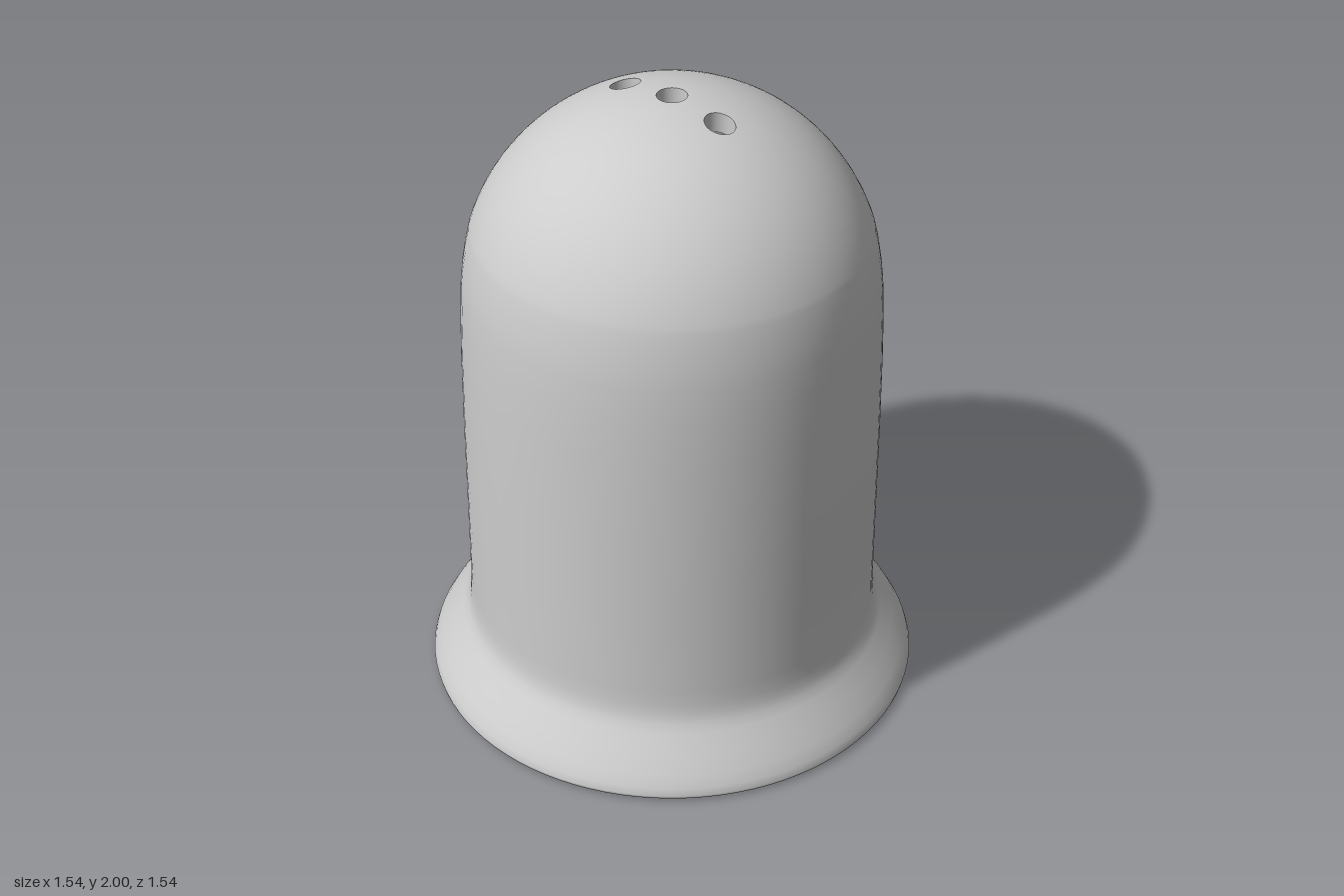
import * as THREE from 'three';

const SEGMENTS = 96;
const CENTRE_Y = 1.37;      // centre of both dome spheres
const OUTER_R = 0.63;
const INNER_R = 0.57;
const CAP_R = 0.33;         // the pierced crown reaches this far from the axis
const BASE_Y = 0.062;       // recessed underside
const FLOOR_Y = 0.117;      // floor of the cavity
const FILL_R = 0.27;
const HOLE_R = 0.045;
const HOLE_GAP = 0.18;
const HALF = HOLE_GAP / 2;
const CELL = 12;            // divisions along one side of a hole's square cell

const v2 = (x, y) => new THREE.Vector2(x, y);
const domeY = (R, x, z) => CENTRE_Y + Math.sqrt(R * R - x * x - z * z);

// Points of a dome arc from radius a to radius b
function domeArc(R, a, b, n) {
  const t0 = Math.asin(a / R), t1 = Math.asin(b / R), pts = [];
  for (let i = 0; i <= n; i++) {
    const t = t0 + (t1 - t0) * i / n;
    pts.push(v2(R * Math.sin(t), CENTRE_Y + R * Math.cos(t)));
  }
  return pts;
}

// Closed strip between two matching loops of points
function loft(inner, outer, rows, place, normalAt, flip) {
  const n = inner.length, pos = [], nor = [], idx = [];
  for (let j = 0; j <= rows; j++) {
    for (let i = 0; i <= n; i++) {
      const p = place(inner[i % n], outer[i % n], j / rows);
      pos.push(p.x, p.y, p.z);
      const m = normalAt(p).normalize();
      nor.push(m.x, m.y, m.z);
      if (i === n || j === rows) continue;
      const a = j * (n + 1) + i, b = a + 1, c = a + n + 1, d = c + 1;
      if (flip) idx.push(a, c, b, b, c, d);
      else idx.push(a, b, c, b, d, c);
    }
  }
  const g = new THREE.BufferGeometry();
  g.setAttribute('position', new THREE.Float32BufferAttribute(pos, 3));
  g.setAttribute('normal', new THREE.Float32BufferAttribute(nor, 3));
  g.setIndex(idx);
  return g;
}

// Rectangle outline in the xz plane, evenly divided
function rectLoop(hx, hz, cz) {
  const corners = [[hx, -hz], [hx, hz], [-hx, hz], [-hx, -hz]], pts = [];
  corners.forEach(([x, z], k) => {
    const [x2, z2] = corners[(k + 1) % 4];
    const n = Math.round((Math.abs(x2 - x) + Math.abs(z2 - z)) / HOLE_GAP * CELL);
    for (let i = 0; i < n; i++) pts.push(v2(x + (x2 - x) * i / n, cz + z + (z2 - z) * i / n));
  });
  return pts;
}

// Circle outline whose points pair up with those of a rectangle loop
function circleLoop(r, cz, n, hx, hz) {
  const start = -hz / (hx + hz) * Math.PI / 2;
  return Array.from({ length: n }, (_, i) => {
    const t = start + i / n * Math.PI * 2;
    return v2(r * Math.cos(t), cz + r * Math.sin(t));
  });
}

export function createModel() {
  const group = new THREE.Group();
  const grey = new THREE.MeshStandardMaterial({ color: 0xcccccc });
  grey.name = 'plain grey';
  const add = (name, geometry) => {
    const mesh = new THREE.Mesh(geometry, grey);
    mesh.name = name;
    group.add(mesh);
  };
  const lathe = (name, pts) => add(name, new THREE.LatheGeometry(pts, SEGMENTS));

  // Outer skin: recessed underside, rounded lip, flared foot, wall, dome
  const skin = [[FILL_R, BASE_Y], [0.45, BASE_Y], [0.59, BASE_Y], [0.62, 0.06], [0.65, 0.05], [0.68, 0.032],
    [0.705, 0.015], [0.722, 0.005], [0.74, 0], [0.76, 0.004], [0.77, 0.012], [0.772, 0.022], [0.765, 0.045],
    [0.745, 0.08], [0.71, 0.13], [0.672, 0.182], [0.656, 0.208], [0.647, 0.235], [0.643, 0.27], [0.641, 0.32],
    [0.64, 0.6], [0.639, 0.9], [0.636, 1.15], [0.632, 1.3], [0.626, 1.4], [0.619, 1.46], [0.609, 1.52]];
  lathe('outerBody', [...skin.map(p => v2(...p)), ...domeArc(OUTER_R, CAP_R, 0.597, 24).reverse()]);

  // Round filling opening through the base
  lathe('fillingHoleWall', [v2(FILL_R, FLOOR_Y), v2(FILL_R, BASE_Y)]);

  // Hollow inside
  lathe('cavityWall', [...domeArc(INNER_R, CAP_R, INNER_R, 24), v2(INNER_R, 0.7), v2(INNER_R, FLOOR_Y)]);
  lathe('cavityFloor', [v2(INNER_R, FLOOR_Y), v2(FILL_R, FLOOR_Y)]);

  // Pierced crown, outside and inside
  const rect = rectLoop(HALF, HALF * 3, 0);
  const rim = circleLoop(CAP_R, 0, rect.length, HALF, HALF * 3);
  for (const [R, side] of [[OUTER_R, 'outer'], [INNER_R, 'inner']]) {
    const inside = R === INNER_R;
    const onDome = (a, b, t) => {
      const p = a.clone().lerp(b, t);
      return new THREE.Vector3(p.x, domeY(R, p.x, p.y), p.y);
    };
    const normal = p => new THREE.Vector3(p.x, p.y - CENTRE_Y, p.z).multiplyScalar(inside ? -1 : 1);
    add(side + 'Crown', loft(rect, rim, 8, onDome, normal, inside));
    for (const k of [-1, 0, 1]) {
      const cell = rectLoop(HALF, HALF, k * HOLE_GAP);
      const hole = circleLoop(HOLE_R, k * HOLE_GAP, cell.length, HALF, HALF);
      add(side + 'HoleSurround', loft(hole, cell, 4, onDome, normal, inside));
    }
  }

  // Upright walls of the three pouring holes
  for (const k of [-1, 0, 1]) {
    const cz = k * HOLE_GAP;
    const hole = circleLoop(HOLE_R, cz, 4 * CELL, HALF, HALF);
    const place = (a, b, t) => new THREE.Vector3(a.x,
      THREE.MathUtils.lerp(domeY(INNER_R, a.x, a.y), domeY(OUTER_R, a.x, a.y), t), a.y);
    add('pouringHoleWall', loft(hole, hole, 1, place, p => new THREE.Vector3(-p.x, 0, cz - p.z), false));
  }
  return group;
}
